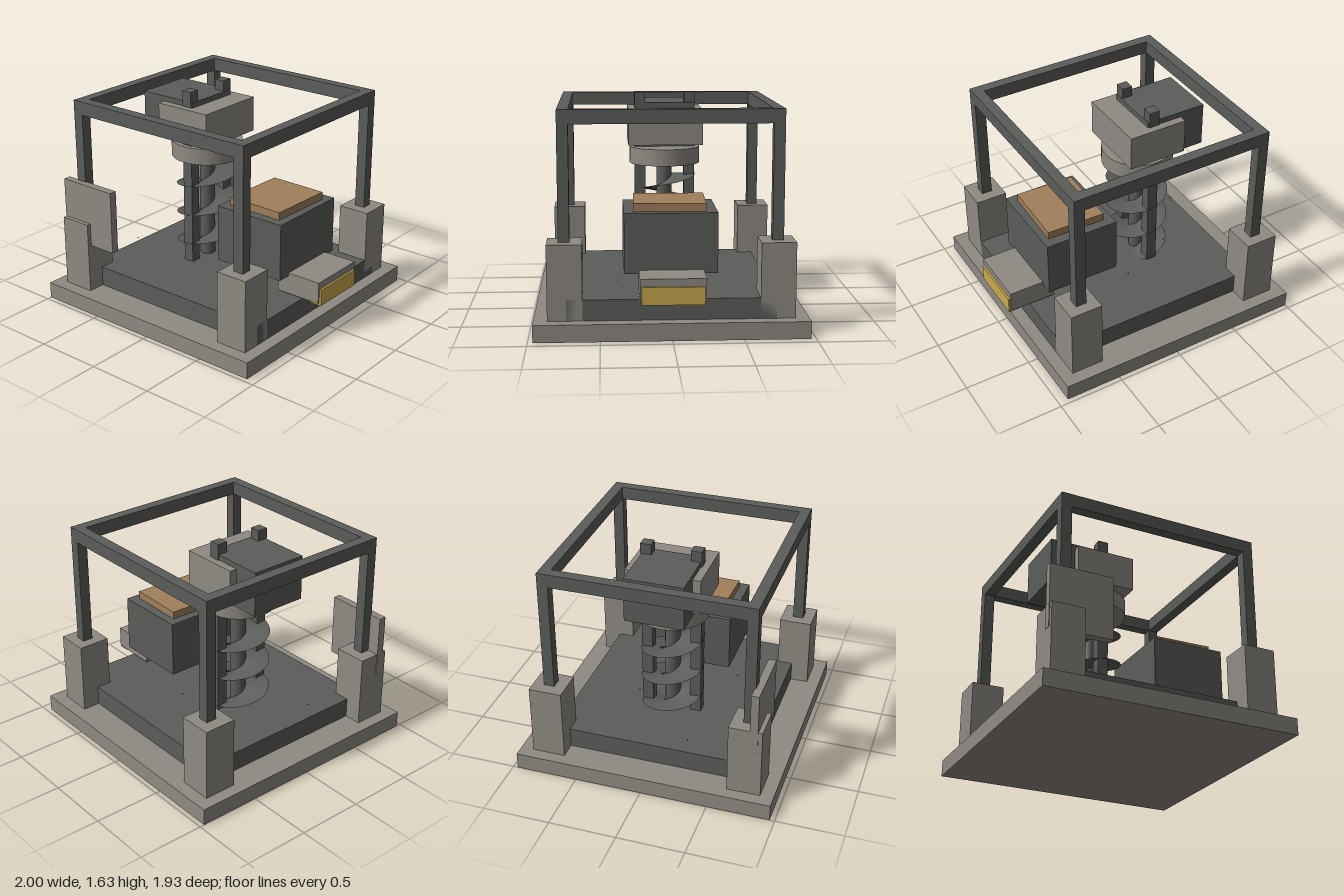
import * as THREE from 'three';

const mat = (name, color, extra = {}) => Object.assign(new THREE.MeshStandardMaterial({ color, ...extra }), { name });

export function createModel() {
  const model = new THREE.Group();
  model.name = 'drillingMachine';
  const grey = mat('warm grey', 0x8f8a83);
  const dark = mat('dark metal', 0x5a5d59);
  const brown = mat('copper brown', 0xa07f5b);
  const yellow = mat('yellow', 0xc9a94d);
  dark.side = THREE.DoubleSide; // the auger flight is a thin sheet

  const add = (name, geometry, material, x = 0, y = 0, z = 0) => {
    const mesh = new THREE.Mesh(geometry, material);
    mesh.name = name;
    mesh.position.set(x, y, z);
    model.add(mesh);
    return mesh;
  };
  // Box given by its limits on each axis
  const box = (name, material, x0, x1, y0, y1, z0, z1) =>
    add(name, new THREE.BoxGeometry(x1 - x0, y1 - y0, z1 - z0), material,
      (x0 + x1) / 2, (y0 + y1) / 2, (z0 + z1) / 2);

  // Base and deck
  box('base', grey, -1, 0.925, 0, 0.125, -0.965, 0.965);
  box('deck', dark, -0.78, 0.83, 0.125, 0.275, -0.735, 0.735);

  // Corner posts with the frame legs on top
  for (const s of [-1, 1]) {
    const [z0, z1] = s < 0 ? [-0.868, -0.622] : [0.622, 0.868];
    box('cornerPost', grey, -0.91, -0.66, 0.125, 0.665, z0, z1);
    box('cornerPost', grey, 0.585, 0.83, 0.125, 0.665, z0, z1);
    for (const x of [-0.78, 0.705])
      box('frameLeg', dark, x - 0.04, x + 0.04, 0.665, 1.485, s * 0.748 - 0.04, s * 0.748 + 0.04);
  }

  // Rectangular top frame
  const outline = new THREE.Shape([[-0.82, -0.788], [0.745, -0.788], [0.745, 0.788], [-0.82, 0.788]]
    .map(p => new THREE.Vector2(...p)));
  outline.holes.push(new THREE.Path([[-0.74, -0.708], [-0.74, 0.708], [0.665, 0.708], [0.665, -0.708]]
    .map(p => new THREE.Vector2(...p))));
  const frame = new THREE.ExtrudeGeometry(outline, { depth: 0.1, bevelEnabled: false });
  add('topFrame', frame.rotateX(-Math.PI / 2), dark, 0, 1.485, 0);

  // Side panel
  box('sidePanel', grey, -0.915, -0.44, 0.49, 0.965, 0.778, 0.836);

  // Storage box and its slightly turned lid
  box('storageBox', dark, 0.15, 0.72, 0.43, 0.86, -0.33, 0.33);
  box('storageLid', brown, 0.212, 0.662, 0.86, 0.918, -0.257, 0.257).rotation.y = -0.028;

  // Output chute and yellow tray
  box('chute', grey, 0.63, 0.985, 0.293, 0.455, -0.23, 0.228);
  box('tray', yellow, 0.91, 1, 0.275, 0.4, -0.216, 0.216);

  // Drill head: motor, gearbox and collar
  const cx = -0.225;
  box('motor', dark, -0.65, -0.175, 1.215, 1.55, -0.22, 0.22);
  box('gearbox', grey, -0.455, 0, 1.245, 1.51, -0.28, 0.28);
  const collar = new THREE.CylinderGeometry(0.268, 0.268, 0.125, 32);
  add('collar', collar, grey, cx, 1.152, 0);

  // Guide rods and auger shaft
  for (const z of [-0.188, 0.188])
    box('guideRod', dark, cx - 0.04, cx + 0.04, 0.275, 1.63, z - 0.041, z + 0.041);
  add('augerShaft', new THREE.CylinderGeometry(0.058, 0.058, 0.82, 20), dark, cx, 0.68, 0);

  // Auger flight: a flat ring wound upward, ending at the back
  const turns = 3.2, pitch = 0.235, top = 1.005;
  const flight = new THREE.PlaneGeometry(1, 1, 1, 96);
  const pos = flight.attributes.position;
  for (let i = 0; i < pos.count; i++) {
    const r = pos.getX(i) < 0 ? 0.058 : 0.235;
    const t = (0.5 - pos.getY(i)) * turns;
    const a = Math.PI / 2 - t * Math.PI * 2;
    pos.setXYZ(i, r * Math.cos(a), top - t * pitch, -r * Math.sin(a));
  }
  flight.computeVertexNormals();
  add('augerFlight', flight, dark, cx, 0, 0);

  // Loose chips thrown up by the auger
  const chip = new THREE.BoxGeometry(0.007, 0.007, 0.007);
  for (const p of [[0.04, 0.31, -0.325], [-0.72, 0.34, 0.27], [0.28, 0.28, 0.37], [-0.33, 0.425, -0.23]])
    add('chip', chip, dark, ...p);

  return model;
}
